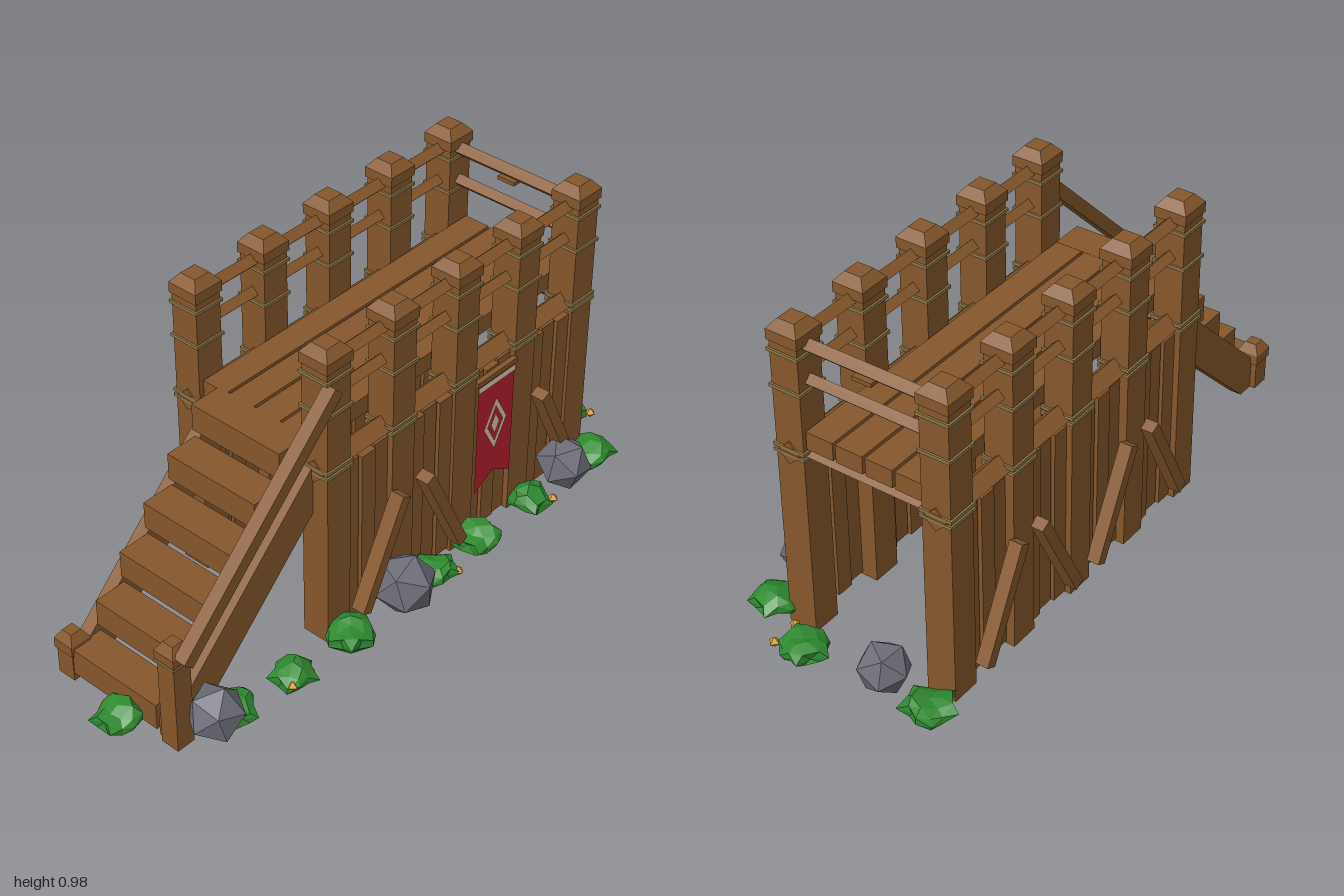
import * as THREE from 'three';

const mat = (name, color) => {
  const m = new THREE.MeshStandardMaterial({ color, flatShading: true });
  m.name = name;
  return m;
};

export function createModel() {
  const wood = mat('wood', 0x86572c);
  const rope = mat('rope', 0x8c7446);
  const stone = mat('stone', 0x6d6d78);
  const leaf = mat('leaf', 0x2f8a30);
  const flower = mat('flower', 0xd99a22);
  const red = mat('banner red', 0xb81f2e);
  const cream = mat('cream', 0xd9d0b4);
  red.side = cream.side = THREE.DoubleSide;

  const model = new THREE.Group();
  const add = (name, geo, m, x = 0, y = 0, z = 0, parent = model) => {
    const mesh = new THREE.Mesh(geo, m);
    mesh.name = name;
    mesh.position.set(x, y, z);
    parent.add(mesh);
    return mesh;
  };
  const box = (name, w, h, d, x, y, z, m = wood, parent = model) =>
    add(name, new THREE.BoxGeometry(w, h, d), m, x, y, z, parent);
  const group = (name) => {
    const g = new THREE.Group();
    g.name = name;
    model.add(g);
    return g;
  };
  // Square bar set on edge, running between two points
  const bar = (name, a, b, r, parent) => {
    const p = new THREE.Vector3(...a), q = new THREE.Vector3(...b);
    const mesh = add(name, new THREE.CylinderGeometry(r, r, p.distanceTo(q), 4), wood, 0, 0, 0, parent);
    mesh.position.copy(p).lerp(q, 0.5);
    mesh.quaternion.setFromUnitVectors(new THREE.Vector3(0, 1, 0), q.sub(p).normalize());
  };
  // Flat plank between two points of an x-y plane
  const slant = (name, x0, y0, x1, y1, h, d, z, parent = model) => {
    const mesh = box(name, Math.hypot(x1 - x0, y1 - y0), h, d, (x0 + x1) / 2, (y0 + y1) / 2, z, wood, parent);
    mesh.rotation.z = Math.atan2(y1 - y0, x1 - x0);
  };
  // Square post with a tapered cap
  const post = (name, x, z, w, top, parent) => {
    box(name, w, top - 0.06, w, x, (top - 0.06) / 2, z, wood, parent);
    box(name + 'Collar', w + 0.01, 0.032, w + 0.01, x, top - 0.044, z, wood, parent);
    const cap = new THREE.CylinderGeometry(w * 0.42, (w + 0.01) * Math.SQRT1_2, 0.028, 4).rotateY(Math.PI / 4);
    add(name + 'Cap', cap, wood, x, top - 0.014, z, parent);
  };

  // Posts with rope bindings
  const postX = [-0.268, -0.008, 0.254, 0.515, 0.775];
  const FZ = 0.187, BZ = -0.28;
  const posts = group('posts');
  for (const x of postX) for (const z of [FZ, BZ]) {
    post('post', x, z, 0.09, 0.978, posts);
    for (const y of [0.58, 0.597, 0.78, 0.889])
      box('ropeBinding', 0.102, 0.01, 0.102, x, y, z, rope, posts);
  }

  // Rails and edge beams
  const rails = group('rails');
  for (const [y, r] of [[0.91, 0.023], [0.805, 0.021], [0.585, 0.036]]) {
    const over = r > 0.03 ? 0.05 : 0;
    for (const z of [FZ, BZ])
      bar('sideRail', [-0.268 - over, y, z], [0.775 + over, y, z], r, rails);
    bar('endRail', [0.775, y, FZ], [0.775, y, BZ], r, rails);
  }
  bar('stairBeam', [-0.268, 0.575, FZ], [-0.268, 0.575, BZ], 0.03, rails);
  box('railPeg', 0.05, 0.012, 0.06, 0.775, 0.889, -0.045, wood, rails);

  // Deck planks
  const deck = group('deck');
  for (let i = 0; i < 4; i++)
    box('deckPlank', 1.11, 0.055, 0.086, 0.255, 0.637, 0.096 - i * 0.095, wood, deck);

  // Vertical wall boards, three in each bay, front and back
  const walls = group('walls');
  for (const z of [FZ + 0.012, BZ - 0.012])
    for (let b = 0; b < 4; b++)
      for (let i = 0; i < 3; i++) {
        const x = (postX[b] + postX[b + 1]) / 2 + (i - 1) * 0.06;
        box('wallBoard', 0.055, 0.56 - 0.008 * ((b + i) % 2), 0.03, x, 0.285, z + ((b + i) % 2) * 0.008, wood, walls);
      }

  // Diagonal braces
  const braces = group('braces');
  const braceList = [[-0.05, -0.21], [0.05, 0.205], [0.47, 0.31], [0.56, 0.715]];
  braceList.forEach(([top, foot], i) => {
    if (i !== 2) slant('frontBrace', foot, 0.07, top, 0.39, 0.035, 0.045, 0.262, braces);
    slant('backBrace', foot, 0.06, top, 0.37, 0.035, 0.04, -0.343, braces);
  });

  // Staircase
  const stairs = group('stairs');
  for (let i = 0; i < 6; i++)
    box('step', 0.105, 0.085, 0.32, -0.828 + i * 0.0965, 0.07 + i * 0.1105, -0.02, wood, stairs);
  for (const z of [0.16, -0.2]) {
    const s = new THREE.Shape([[-0.87, 0.0], [-0.77, 0.0], [-0.27, 0.48], [-0.27, 0.62], [-0.31, 0.6], [-0.87, 0.06]]
      .map(([x, y]) => new THREE.Vector2(x, y)));
    add('stringer', new THREE.ExtrudeGeometry(s, { depth: 0.04, bevelEnabled: false }), wood, 0, 0, z - 0.02, stairs);
  }
  post('newelPost', -0.853, 0.19, 0.06, 0.355, stairs);
  post('shortNewelPost', -0.853, -0.208, 0.06, 0.15, stairs);
  box('newelRope', 0.072, 0.01, 0.072, -0.853, 0.295, 0.19, rope, stairs);
  slant('handrail', -0.865, 0.315, -0.295, 0.87, 0.04, 0.04, 0.238, stairs);

  // Banner with a swallow tail, stripe and diamond emblem
  const banner = group('banner');
  const flat = (name, pts, hole, m, z) => {
    const v = (l) => l.map(([x, y]) => new THREE.Vector2(x, y));
    const s = new THREE.Shape(v(pts));
    if (hole) s.holes.push(new THREE.Path(v(hole)));
    add(name, new THREE.ShapeGeometry(s), m, 0.386, 0, z, banner);
  };
  const diamond = (w, h) => [[-w, 0.37], [0, 0.37 - h], [w, 0.37], [0, 0.37 + h]];
  flat('bannerCloth', [[-0.08, 0.54], [-0.08, 0.155], [0, 0.2], [0.08, 0.155], [0.08, 0.54]], null, red, 0.236);
  flat('bannerStripe', [[-0.08, 0.535], [-0.08, 0.515], [0.08, 0.515], [0.08, 0.535]], null, cream, 0.239);
  flat('emblemRing', diamond(0.05, 0.09), diamond(0.034, 0.062), cream, 0.239);
  flat('emblemCentre', diamond(0.018, 0.034), null, cream, 0.239);
  box('bannerRod', 0.175, 0.016, 0.016, 0.386, 0.547, 0.232, wood, banner);

  // Rocks
  const rocks = group('rocks');
  for (const [x, y, z, r, a] of [[-0.78, 0.096, 0.26, 0.085, 0.4], [-0.07, 0.1, 0.3, 0.095, 1.1],
    [0.655, 0.1, 0.295, 0.085, 2.0], [0.89, 0.08, -0.148, 0.078, 2.8]])
    add('rock', new THREE.IcosahedronGeometry(r, 0), stone, x, y, z, rocks).rotation.set(a, a * 1.7, a * 0.6);

  // Low leafy bushes: squashed spheres with five lobes
  const bushes = group('bushes');
  const bush = (x, z, r, turn) => {
    const g = new THREE.IcosahedronGeometry(1, 1);
    const p = g.attributes.position;
    for (let i = 0; i < p.count; i++) {
      const px = p.getX(i), py = p.getY(i), pz = p.getZ(i);
      const k = r * (0.82 + 0.2 * Math.cos(5 * Math.atan2(pz, px)));
      p.setXYZ(i, px * k, py * 0.036 + 0.01 * Math.sin(px * 4 + turn), pz * k);
    }
    g.computeVertexNormals();
    add('bush', g, leaf, x, 0.046, z, bushes).rotation.y = turn;
  };
  [[-0.925, 0.04, 0.08], [-0.7, 0.24, 0.08], [-0.5, 0.275, 0.075], [-0.28, 0.285, 0.085], [0.08, 0.285, 0.075],
    [0.27, 0.28, 0.085], [0.51, 0.28, 0.075], [0.81, 0.28, 0.085], [0.92, 0.095, 0.085], [0.91, -0.31, 0.085]]
    .forEach(([x, z, r], i) => bush(x, z, r, i * 1.3));

  // Small flowers beside the bushes
  const flowers = group('flowers');
  for (const [x, z] of [[-0.54, 0.31], [-0.47, 0.31], [0.07, 0.31], [0.115, 0.34], [0.49, 0.31], [0.55, 0.34],
    [0.87, 0.17], [0.955, 0.17]])
    add('flower', new THREE.OctahedronGeometry(0.017, 0), flower, x, 0.05, z, flowers);

  return model;
}
